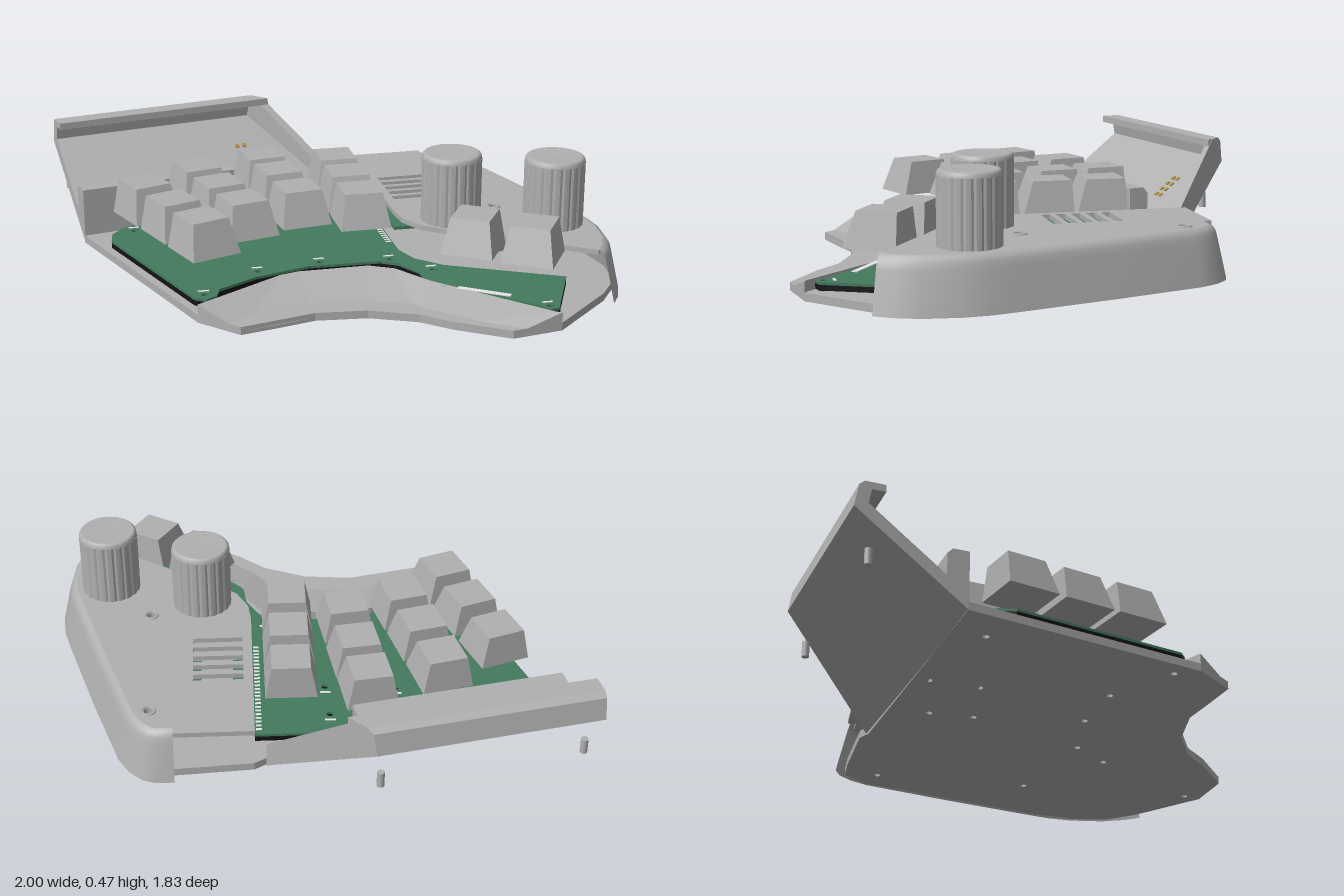
import * as THREE from 'three';

const material = (name, color, side = THREE.FrontSide) => {
  const m = new THREE.MeshStandardMaterial({ color, side });
  m.name = name;
  return m;
};

export function createModel() {
  const model = new THREE.Group();
  const gray = material('case gray', 0xb0b0b0, THREE.DoubleSide);
  const green = material('board green', 0x447a5e);
  const black = material('switch plate black', 0x141414);
  const gold = material('contact gold', 0xb09040);
  const white = material('print white', 0xe6e6e6);

  const add = (name, geometry, mat, x = 0, y = 0, z = 0, parent = model) => {
    const mesh = new THREE.Mesh(geometry, mat);
    mesh.name = name;
    mesh.position.set(x, y, z);
    parent.add(mesh);
    return mesh;
  };

  // Flat plate from an (x, z) outline, with optional round and rectangular holes
  const plate = (outline, height, rounds = [], slots = []) => {
    const shape = new THREE.Shape(outline.map(([x, z]) => new THREE.Vector2(x, -z)));
    for (const [x, z, r] of rounds) shape.holes.push(new THREE.Path().absarc(x, -z, r, 0, Math.PI * 2));
    for (const [x, z, w, d] of slots) {
      const p = [[-1, -1], [-1, 1], [1, 1], [1, -1]];
      shape.holes.push(new THREE.Path(p.map(([i, j]) => new THREE.Vector2(x + i * w / 2, -z + j * d / 2))));
    }
    const g = new THREE.ExtrudeGeometry(shape, { depth: height, bevelEnabled: false, curveSegments: 6 });
    return g.rotateX(-Math.PI / 2);
  };

  // Surface through a row of equal cross-sections
  const loft = (sections) => {
    const n = sections[0].length, index = [];
    for (let i = 0; i < sections.length - 1; i++) {
      for (let j = 0; j < n - 1; j++) {
        const a = i * n + j, b = a + n;
        index.push(a, a + 1, b, a + 1, b + 1, b);
      }
    }
    const g = new THREE.BufferGeometry();
    g.setAttribute('position', new THREE.Float32BufferAttribute(sections.flat(2), 3));
    g.setIndex(index);
    g.computeVertexNormals();
    return g;
  };

  // Tray floor with screw holes
  const screws = [[-.73, -.27], [-.34, -.41], [-.31, -.22], [-.05, -.37], [-.04, -.2], [-.33, .26],
    [-.085, .22], [.18, .25], [.31, .385], [-.56, .44], [.62, .81]];
  const posts = [[.62, -.49], [.625, .12]];
  const floor = [[-.92, -.36], [.19, -.57], [.24, -.6], [.53, -.62], [.64, -.62], [.72, -.53], [.94, .19],
    [.98, .4], [.96, .55], [.88, .66], [.64, .88], [.45, .91], [.27, .79], [.17, .7], [0, .625],
    [-.19, .605], [-.47, .67], [-.6, .53]];
  add('trayFloor', plate(floor, .03, [...screws, ...posts].map(([x, z]) => [x, z, .013])), gray);

  // Sloping wrist rest along the front edge
  const inner = [[-.6, .53], [-.26, .32], [-.19, .3], [.08, .3], [.17, .35], [.27, .5], [.62, .87]];
  const outer = [[-.47, .67], [-.33, .64], [-.19, .605], [0, .625], [.17, .7], [.27, .79], [.45, .91]];
  inner.push([.64, .88]);
  outer.push([.64, .88]);
  inner.unshift([-.6, .53]);
  outer.unshift([-.6, .53]);
  const rest = loft(inner.map(([x, z], i) => {
    const [ox, oz] = outer[i];
    return [[x, .03, z], [x, .07, z], [ox, .014, oz], [ox, 0, oz]];
  })).toNonIndexed();
  rest.computeVertexNormals();
  add('wristRest', rest, gray);

  // Circuit board and the dark plate beneath it
  const board = [[-.83, -.18], [-.82, -.25], [-.77, -.31], [-.61, -.41], [-.5, -.44], [-.13, -.52], [-.06, -.51],
    [.06, -.48], [.235, -.48], [.235, .16], [.27, .26], [.36, .35], [.77, .56], [.66, .8], [.65, .83],
    [.61, .84], [.58, .79], [.3, .55], [.26, .48], [.25, .39], [.2, .3], [.14, .26], [-.13, .25],
    [-.34, .31], [-.5, .4], [-.52, .46], [-.56, .485], [-.6, .46]];
  const boardHoles = screws.map(([x, z]) => [x, z, .013]);
  add('boardUnderside', plate(board, .02, boardHoles), black, 0, .037, 0);
  add('circuitBoard', plate(board, .01, boardHoles), green, 0, .057, 0);
  const mark = new THREE.BoxGeometry(.04, .003, .01);
  for (const [x, z] of screws) add('printedMark', mark, white, x, .0675, z - .035);
  const pad = new THREE.BoxGeometry(.022, .003, .01);
  for (let i = 0; i < 24; i++) add('headerPad', pad, white, .219, .0675, -.45 + i * .0225);
  add('thumbStrip', new THREE.BoxGeometry(.2, .004, .022), white, .43, .068, .635).rotation.y = -.6;

  // Keycaps, tapered towards a top set slightly back
  const cap = new THREE.BoxGeometry(.195, .13, .2);
  const cp = cap.attributes.position;
  for (let i = 0; i < cp.count; i++) {
    if (cp.getY(i) > 0) {
      cp.setX(i, cp.getX(i) * .745);
      cp.setZ(i, cp.getZ(i) * .76 - .019);
    }
  }
  cap.computeVertexNormals();
  const columns = [
    [0, [.095, -.31], [.095, -.1], [.095, .115]],
    [8, [-.19, -.385], [-.16, -.185], [-.13, .04]],
    [14, [-.465, -.295], [-.41, -.085], [-.355, .125]],
    [20, [-.69, -.14], [-.61, .075], [-.535, .285]],
    [-32, [.43, .485], [.615, .615]],
  ];
  for (const [angle, ...keys] of columns) {
    for (const [x, z] of keys) {
      add('keycap', cap, gray, x, .245, z).rotation.y = THREE.MathUtils.degToRad(angle);
    }
  }

  // Side cover: drafted skirt, rounded shoulder and top plate
  const rim = [[.53, -.66], [.6, -.66], [.65, -.64], [.7, -.59], [.74, -.52], [.85, -.18], [.96, .19],
    [.99, .3], [1, .4], [.985, .54], [.95, .63], [.91, .69]];
  const inset = (i, d) => {
    const a = rim[Math.max(i - 1, 0)], b = rim[Math.min(i + 1, rim.length - 1)];
    const dx = b[0] - a[0], dz = b[1] - a[1], l = Math.hypot(dx, dz);
    return [rim[i][0] - dz / l * d, rim[i][1] + dx / l * d];
  };
  const skirtProfile = [[0, 0], [.035, .15], [.042, .175], [.052, .192], [.068, .2]];
  add('coverSkirt', loft(rim.map((_, i) => skirtProfile.map(([d, y]) => {
    const [x, z] = inset(i, d);
    return [x, y, z];
  }))), gray);
  const vents = [0, 1, 2, 3, 4].map((i) => [.365, -.295 + i * .058, .19, .035]);
  const top = [...rim.map((_, i) => inset(i, .067)), [.38, .33], [.29, .26], [.245, .17], [.235, .08],
    [.235, -.625], [.53, -.625]];
  add('coverTop', plate(top, .019, posts.map(([x, z]) => [x, z, .017]), vents), gray, 0, .1805, 0);

  // Screw posts under the cover and their rings on top
  const ring = new THREE.TorusGeometry(.024, .005, 6, 20).rotateX(Math.PI / 2);
  const postTube = new THREE.LatheGeometry([[.02, .03], [.055, .03], [.055, .18], [.02, .18], [.02, .03]]
    .map(([r, y]) => new THREE.Vector2(r, y)), 20);
  for (const [x, z] of posts) {
    add('screwRing', ring, gray, x, .2, z);
    add('screwPost', postTube, gray, x, 0, z);
  }

  // Small module below the vents
  add('module', new THREE.BoxGeometry(.2, .012, .29), green, .37, .08, -.18);
  add('moduleChip', new THREE.BoxGeometry(.12, .035, .2), gray, .37, .103, -.18);

  // Ribbed knobs
  const ribs = new THREE.Shape();
  for (let i = 0; i < 80; i++) {
    const a = i / 80 * Math.PI * 2, r = i % 4 < 3 ? .114 : .11;
    ribs[i ? 'lineTo' : 'moveTo'](r * Math.cos(a), r * Math.sin(a));
  }
  const knob = new THREE.ExtrudeGeometry(ribs, { depth: .245, bevelEnabled: false }).rotateX(-Math.PI / 2);
  const crown = new THREE.LatheGeometry([[.113, 0], [.111, .012], [.105, .018], [.098, .02], [0, .016]]
    .map(([r, y]) => new THREE.Vector2(r, y)), 40);
  for (const [x, z] of [[.425, .21], [.79, .335]]) {
    add('knob', knob, gray, x, .2, z);
    add('knobCrown', crown, gray, x, .445, z);
  }

  // Tilted rear panel; local axes are outwards, up and along
  const rear = new THREE.Group();
  rear.name = 'rearPanel';
  rear.applyMatrix4(new THREE.Matrix4().makeBasis(
    new THREE.Vector3(-.196, 0, -.981), new THREE.Vector3(0, 1, 0), new THREE.Vector3(.981, 0, -.196)));
  model.add(rear);
  const slantEnd = (w) => .3 - .73 * (w - .53);
  const profileBar = (points, start, end) => {
    const shape = new THREE.Shape(points.map(([w, y]) => new THREE.Vector2(w, y)));
    const g = new THREE.ExtrudeGeometry(shape, { depth: 1, bevelEnabled: false });
    const p = g.attributes.position;
    for (let i = 0; i < p.count; i++) p.setZ(i, p.getZ(i) < .5 ? start(p.getX(i)) : end(p.getX(i)));
    g.computeVertexNormals();
    return g;
  };
  const left = () => -.83;
  add('panelShell', profileBar([[.53, 0], [.94, .31], [.925, .395], [.905, .412], [.83, .412], [.83, .385],
    [.88, .385], [.89, .33], [.55, .07], [.53, .07]], left, slantEnd), gray, 0, 0, 0, rear);
  add('panelEndWall', profileBar([[.53, 0], [.94, .31], [.925, .395], [.905, .412], [.86, .412], [.53, .1]],
    (w) => slantEnd(w) - .03, (w) => slantEnd(w) + .004), gray, 0, 0, 0, rear);
  add('panelFrontBar', profileBar([[.53, .03], [.61, .1], [.61, .2], [.59, .22], [.53, .22]], left, () => -.02),
    gray, 0, 0, 0, rear);

  // Contact pads on the panel face
  const contact = new THREE.BoxGeometry(.016, .006, .016);
  for (let i = 0; i < 8; i++) {
    const w = .69 + (i >> 1) * .026;
    add('contact', contact, gold, w, .07 + .765 * (w - .55) + .002, -.085 + (i % 2) * .032, rear).rotation.z = .65;
  }

  // Loose pegs below the panel
  const peg = new THREE.CylinderGeometry(.014, .014, .06, 12);
  for (const [x, z] of [[-.2, -.85], [-.945, -.7]]) add('peg', peg, gray, x, .15, z);

  // Centre the model on its footprint
  const box = new THREE.Box3().setFromObject(model);
  const c = box.getCenter(new THREE.Vector3());
  model.children.forEach((m) => m.position.sub(new THREE.Vector3(c.x, box.min.y, c.z)));
  return model;
}
